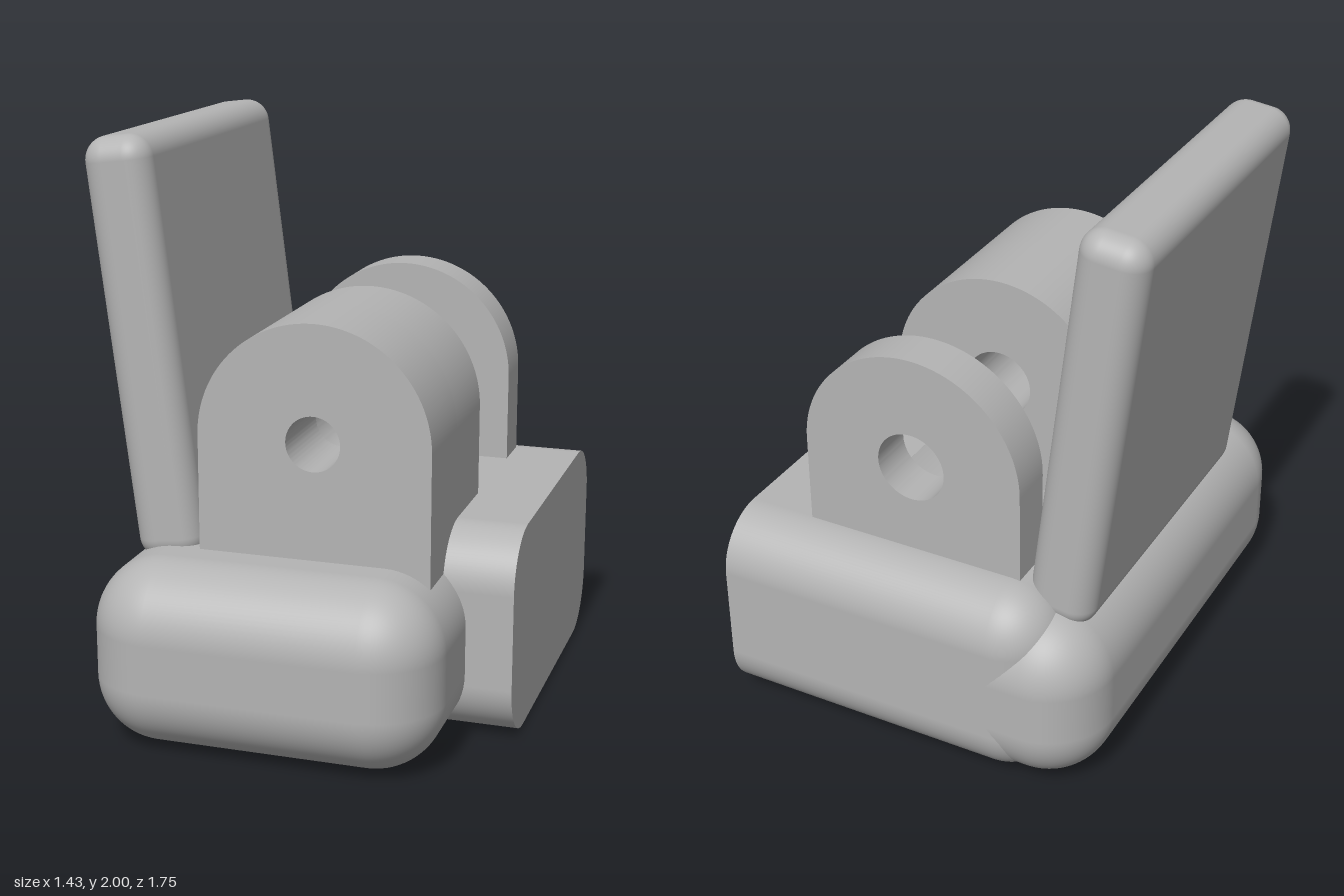
import * as THREE from 'three';
import { toCreasedNormals } from 'three/addons/utils/BufferGeometryUtils.js';
import { RoundedBoxGeometry } from 'three/addons/geometries/RoundedBoxGeometry.js';

const PIN_X = 0.078, PIN_Y = 1.035;      // pivot axis, parallel to z
const GAP = [-0.525, -0.08];             // slot between the lugs

const grey = new THREE.MeshStandardMaterial({ color: 0xb4b4b4, side: THREE.DoubleSide });
grey.name = 'plain grey';

function addMesh(group, name, geometry) {
  const mesh = new THREE.Mesh(geometry, grey);
  mesh.name = name;
  group.add(mesh);
  return mesh;
}

// Rounded block given by its limits; flatEnd cuts the +x end off square
function roundedBlock([x0, x1], [y0, y1], [z0, z1], r, flatEnd = false) {
  const end = flatEnd ? x1 + r : x1;
  const geo = new RoundedBoxGeometry(end - x0, y1 - y0, z1 - z0, 10, r);
  geo.translate((x0 + end) / 2, (y0 + y1) / 2, (z0 + z1) / 2);
  if (flatEnd) {
    const p = geo.attributes.position, n = geo.attributes.normal;
    for (let i = 0; i < p.count; i += 3) {
      const onEnd = [0, 1, 2].every((k) => p.getX(i + k) > x1 - 1e-4);
      for (let k = i; k < i + 3; k++) {
        p.setX(k, Math.min(p.getX(k), x1));
        if (onEnd) n.setXYZ(k, 1, 0, 0);
      }
    }
  }
  return geo;
}

// Removes the flat top of a block and returns the rest, plus a lid with an opening
function openTop(geo, top, [hx0, hx1]) {
  const p = geo.attributes.position, n = geo.attributes.normal;
  const pos = [], nor = [], lidBox = new THREE.Box3(), v = new THREE.Vector3();
  for (let i = 0; i < p.count; i += 3) {
    const flat = [0, 1, 2].every((k) => p.getY(i + k) > top - 1e-4);
    for (let k = i; k < i + 3; k++) {
      v.fromBufferAttribute(p, k);
      if (flat) lidBox.expandByPoint(v);
      else {
        pos.push(v.x, v.y, v.z);
        nor.push(n.getX(k), n.getY(k), n.getZ(k));
      }
    }
  }
  const sides = new THREE.BufferGeometry();
  sides.setAttribute('position', new THREE.Float32BufferAttribute(pos, 3));
  sides.setAttribute('normal', new THREE.Float32BufferAttribute(nor, 3));

  const rect = (C, a, b, c, d) => {
    const s = new C();
    s.moveTo(a, c); s.lineTo(b, c); s.lineTo(b, d); s.lineTo(a, d); s.closePath();
    return s;
  };
  const { min, max } = lidBox;
  const shape = rect(THREE.Shape, min.x, max.x, -max.z, -min.z);
  shape.holes.push(rect(THREE.Path, hx0, hx1, -GAP[1], -GAP[0]));
  const lid = new THREE.ShapeGeometry(shape);
  lid.rotateX(-Math.PI / 2).translate(0, top, 0);
  return { sides, lid };
}

// Round-topped lug with a bore
function lugGeometry(z0, z1, bore) {
  const r = 0.397, base = 0.45;
  const s = new THREE.Shape();
  s.moveTo(PIN_X - r, base);
  s.lineTo(PIN_X + r, base);
  s.lineTo(PIN_X + r, PIN_Y);
  s.absarc(PIN_X, PIN_Y, r, 0, Math.PI, false);
  s.closePath();
  s.holes.push(new THREE.Path().absarc(PIN_X, PIN_Y, bore, 0, Math.PI * 2, true));
  const geo = new THREE.ExtrudeGeometry(s, { depth: z1 - z0, bevelEnabled: false, curveSegments: 48 });
  geo.translate(0, 0, z0);
  return toCreasedNormals(geo, 0.5);
}

export function createModel() {
  const model = new THREE.Group();
  model.name = 'hingeBracket';

  // Low, fully rounded base
  const base = openTop(roundedBlock([-0.64, 0.555], [0, 0.64], [-0.875, 0.875], 0.235), 0.64, [-0.2, 0.3]);
  addMesh(model, 'baseSides', base.sides);
  addMesh(model, 'baseTop', base.lid);

  // Taller arm with a square-cut end
  const arm = openTop(roundedBlock([-0.48, 0.715], [0, 0.72], [-0.875, 0.397], 0.195, true), 0.72,
    [PIN_X - 0.2875, PIN_X + 0.2875]);
  addMesh(model, 'armSides', arm.sides);
  addMesh(model, 'armTop', arm.lid);

  // Hollow groove for clearance between the lugs
  const grooveR = 0.427, half = Math.asin(0.2875 / grooveR);
  const groove = new THREE.CylinderGeometry(grooveR, grooveR, GAP[1] - GAP[0], 32, 1, true, -half, half * 2);
  groove.rotateX(Math.PI / 2).translate(PIN_X, PIN_Y, (GAP[0] + GAP[1]) / 2);
  addMesh(model, 'clearanceGroove', groove);

  // Lugs; the thick one has a stepped bore
  addMesh(model, 'rearLug', lugGeometry(-0.685, GAP[0], 0.122));
  addMesh(model, 'frontLugInner', lugGeometry(GAP[1], 0.24, 0.122));
  addMesh(model, 'frontLugOuter', lugGeometry(0.24, 0.555, 0.093));

  // Leaning back plate
  const plate = addMesh(model, 'backPlate', new RoundedBoxGeometry(0.234, 1.431, 1.24, 8, 0.08));
  plate.position.set(-0.5225, 1.285, -0.065);
  plate.rotation.z = THREE.MathUtils.degToRad(7);

  return model;
}
